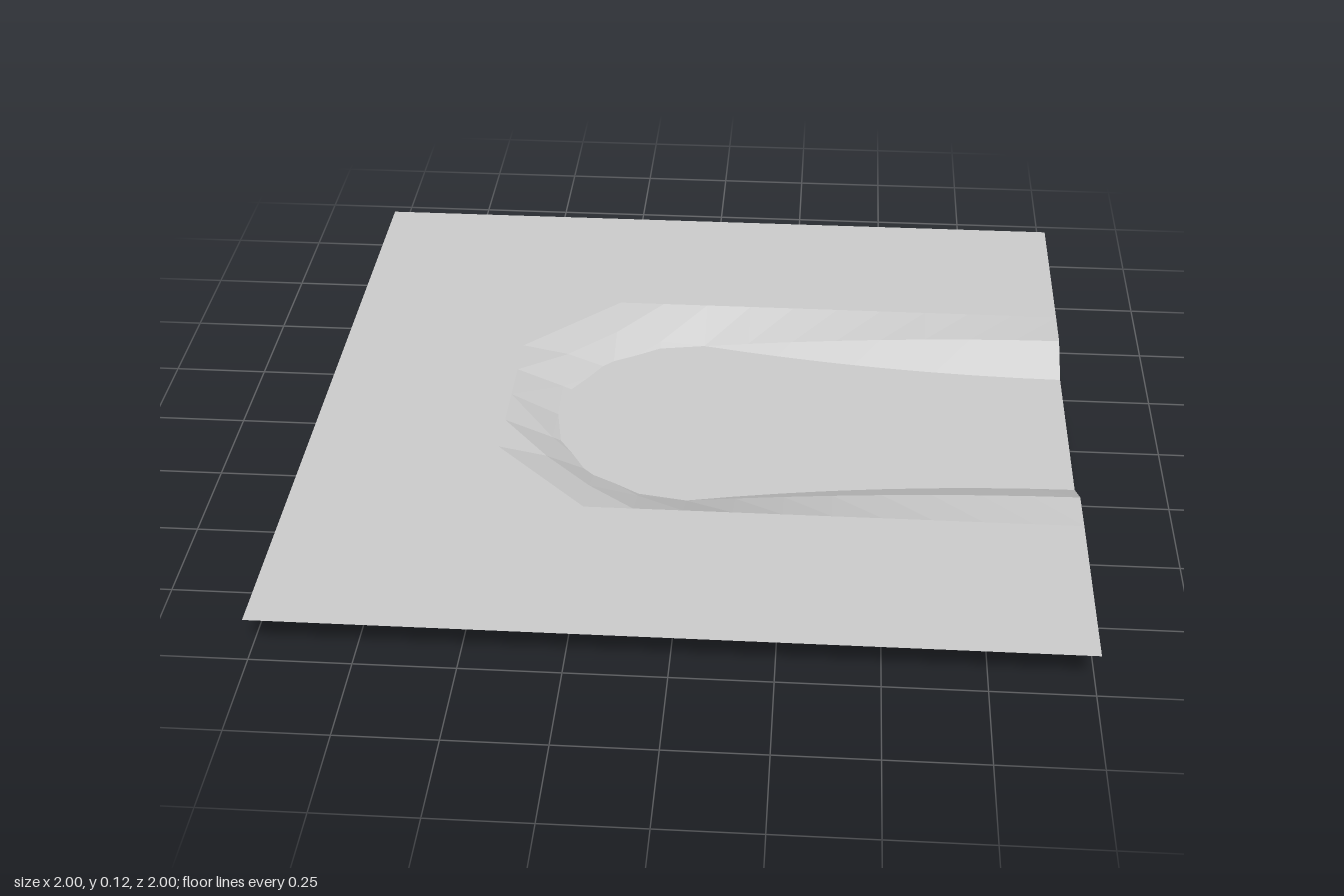
import * as THREE from 'three';

const TOP = 0.12;    // ground level
const WATER = 0.06;  // water level
const CELLS = 16;
const STEP = 2 / CELLS;

const groundGrey = new THREE.MeshStandardMaterial({ color: 0xcccccc, side: THREE.DoubleSide });
groundGrey.name = 'groundGrey';
const waterBlue = new THREE.MeshStandardMaterial({ color: 0x4a6b78, side: THREE.DoubleSide });
waterBlue.name = 'waterBlue';

// Height of the ground: a round pool that narrows to a channel towards +x
function height(x, z) {
  let bed = 0.25, bank = 0.25, d = Math.hypot(x, z);
  if (x > 0) {
    bed = 0.145 + 0.105 * (1 - x) ** 2;
    bank = 0.25 - 0.015 * x;
    d = Math.abs(z);
  }
  return TOP * THREE.MathUtils.clamp((d - bed) / bank, 0, 1);
}

// Grid triangles, with diagonals mirrored across z = 0
function groundTriangles() {
  const tris = [];
  const point = (i, j) => {
    const x = -1 + i * STEP, z = -1 + j * STEP;
    return new THREE.Vector3(x, height(x, z), z);
  };
  for (let i = 0; i < CELLS; i++) {
    for (let j = 0; j < CELLS; j++) {
      const a = point(i, j), b = point(i, j + 1), c = point(i + 1, j + 1), d = point(i + 1, j);
      if (j < CELLS / 2) tris.push([a, b, d], [b, c, d]);
      else tris.push([a, b, c], [a, c, d]);
    }
  }
  return tris;
}

// Part of a triangle lying below the water, raised to the water level
function floodedPart(tri) {
  const out = [];
  tri.forEach((p, k) => {
    const q = tri[(k + 1) % 3];
    if (p.y <= WATER) out.push(p.clone());
    if ((p.y < WATER && q.y > WATER) || (p.y > WATER && q.y < WATER)) {
      out.push(p.clone().lerp(q, (WATER - p.y) / (q.y - p.y)));
    }
  });
  out.forEach((p) => { p.y = WATER; });
  return out;
}

// Flat-shaded mesh from convex polygons
function polygonMesh(name, polygons, material) {
  const points = [];
  for (const poly of polygons) {
    for (let k = 1; k < poly.length - 1; k++) points.push(poly[0], poly[k], poly[k + 1]);
  }
  const geometry = new THREE.BufferGeometry().setFromPoints(points);
  geometry.computeVertexNormals();
  const mesh = new THREE.Mesh(geometry, material);
  mesh.name = name;
  return mesh;
}

export function createModel() {
  const group = new THREE.Group();
  group.name = 'riverEndTile';
  const tris = groundTriangles();
  group.add(polygonMesh('ground', tris, groundGrey));

  // Still water surface
  const flooded = tris.map(floodedPart).filter((p) => p.length > 2);
  group.add(polygonMesh('waterSurface', flooded, groundGrey));

  // Cut face of the water at the open end
  const h1 = height(1, 2 * STEP), h2 = height(1, 3 * STEP);
  const edge = 2 * STEP + STEP * (WATER - h1) / (h2 - h1);
  const half = [[WATER, edge], [h1, 2 * STEP], [0, STEP]];
  const outline = [
    ...half.map(([y, z]) => new THREE.Vector3(1, y, z)),
    ...half.reverse().map(([y, z]) => new THREE.Vector3(1, y, -z)),
  ];
  group.add(polygonMesh('waterEnd', [outline], waterBlue));
  return group;
}
